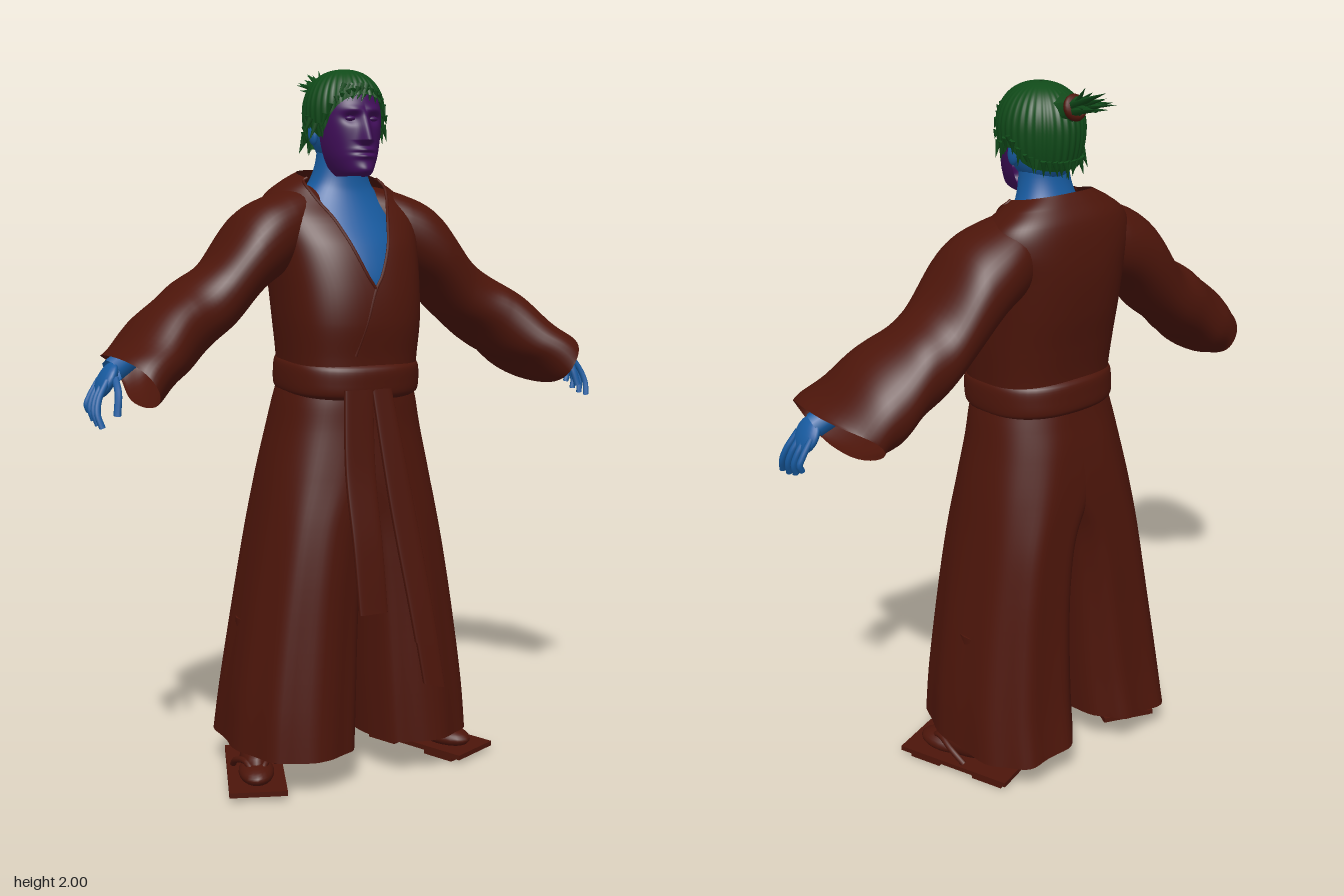
import * as THREE from 'three';
import { ParametricGeometry } from 'three/addons/geometries/ParametricGeometry.js';

const V = (x, y, z) => new THREE.Vector3(x, y, z);
const mat = (color) => new THREE.MeshStandardMaterial({ color, side: THREE.DoubleSide });
const gauss = (d, w) => Math.exp(-(d * d) / (w * w));
const pw = (s, e) => Math.sign(s) * Math.abs(s) ** e;

// Smooth (Catmull-Rom) blend through rows of numbers, v in 0..1
function sample(rows, v) {
  const n = rows.length - 1, t = THREE.MathUtils.clamp(v, 0, 1) * n, i = Math.min(Math.floor(t), n - 1), f = t - i;
  const at = (k) => rows[Math.max(0, Math.min(n, k))];
  return rows[0].map((_, c) => {
    const [a, b, d, e] = [at(i - 1)[c], at(i)[c], at(i + 1)[c], at(i + 2)[c]];
    return b + 0.5 * f * (d - a + f * (2 * a - 5 * b + 4 * d - e + f * (3 * (b - d) + e - a)));
  });
}

// Point on a body section: row = [y, centre x, half width, front z, back z], angle 0 faces front
function sectionPoint([y, cx, hw, zf, zb], a, e, out) {
  return out.set(cx + hw * pw(Math.sin(a), e), y, (zf + zb) / 2 + ((zf - zb) / 2) * pw(Math.cos(a), e));
}

function createModel() {
  const model = new THREE.Group();
  const cloth = mat(0x4c150a), skin = mat(0x175a9f), hairMat = mat(0x104a19), faceMat = mat(0x410e5a);

  const add = (name, geo, material, parent = model) => {
    const m = new THREE.Mesh(geo, material);
    m.name = name;
    parent.add(m);
    return m;
  };
  // Stack of horizontal sections, rows from bottom to top; gap(y) opens the front, eIn squares the -x half
  const loft = (name, rows, material, { e = 0.85, eIn = e, nu = 48, nv = 40, gap, tweak, parent } = {}) =>
    add(name, new ParametricGeometry((u, v, p) => {
      const r = sample(rows, v), g = gap ? gap(r[0], r[2]) : 0;
      sectionPoint(r, g + u * (2 * Math.PI - 2 * g), u > .5 ? eIn : e, p);
      if (tweak) tweak(p, u * 2 * Math.PI, v);
    }, nu, nv), material, parent);
  const ball = (name, material, pos, r, parent) => {
    const m = add(name, new THREE.SphereGeometry(1, 20, 14), material, parent);
    m.position.set(...pos);
    m.scale.set(...r);
    return m;
  };
  const tube = (name, material, pts, r, parent, n = 16) =>
    add(name, new THREE.TubeGeometry(new THREE.CatmullRomCurve3(pts), n, r, 8), material, parent);
  const spike = (name, material, a, b, r) => {
    const m = add(name, new THREE.ConeGeometry(r, a.distanceTo(b), 6), material);
    m.position.lerpVectors(a, b, 0.5);
    m.quaternion.setFromUnitVectors(V(0, 1, 0), b.clone().sub(a).normalize());
  };

  // Robe body with a V neck; the collar sinks toward the front
  const robeE = 0.77;
  const robe = [
    [1.12, 0, .185, .185, -.165], [1.2, 0, .19, .19, -.162], [1.3, 0, .198, .2, -.175], [1.4, 0, .203, .19, -.192],
    [1.5, 0, .21, .16, -.2], [1.58, 0, .222, .108, -.195], [1.64, 0, .208, .072, -.18], [1.685, 0, .16, .05, -.152], [1.715, 0, .112, .04, -.13],
  ];
  const vNeck = (y, hw) => (y < 1.39 ? 0 : Math.asin(Math.min(.96, (.12 * ((y - 1.39) / .3) ** .8) / hw) ** (1 / robeE)));
  const sink = (p) => {
    p.y -= THREE.MathUtils.smoothstep(p.y, 1.56, 1.715) * (p.z + .13) * .22;
    return p;
  };
  loft('robeBody', robe, cloth, { e: robeE, gap: vNeck, nv: 64, nu: 64, tweak: sink });

  // Collar edge down both sides of the neck, then the overlap seam
  for (const s of [1, -1]) {
    const pts = [];
    for (let v = 1; v > .36; v -= .04) {
      const r = sample(robe, v);
      if (r[0] > 1.39) pts.push(sink(sectionPoint(r, s * vNeck(r[0], r[2]), robeE, V(0, 0, 0))));
    }
    pts.push(V(0, 1.39, .191));
    if (s > 0) pts.push(V(-.03, 1.3, .196), V(-.06, 1.21, .185));
    tube('collarEdge', cloth, pts, .0045, model, 48);
  }

  // Neck and chest under the robe
  loft('neckAndChest', [
    [1.34, 0, .17, .17, -.14], [1.42, 0, .175, .165, -.15], [1.5, 0, .175, .135, -.155], [1.58, 0, .16, .085, -.15],
    [1.64, 0, .12, .055, -.125], [1.68, 0, .088, .046, -.1], [1.74, 0, .07, .045, -.08], [1.82, 0, .066, .04, -.075],
  ], skin, { e: .95 });

  // Waist belt and its two hanging ends
  loft('belt', [[1.1, 0, .185, .175, -.165], [1.115, 0, .196, .196, -.178], [1.15, 0, .198, .201, -.178],
    [1.185, 0, .194, .2, -.174], [1.2, 0, .18, .185, -.16]], cloth, { e: .82, nv: 20, tweak: (p) => { p.y -= p.z * .07; } });
  loft('sashEndShort', [[.51, -.04, .043, .26, .244], [.7, -.05, .044, .245, .228], [.9, -.058, .045, .217, .2],
    [1.12, -.055, .043, .2, .185]], cloth, { e: .4 });
  loft('sashEndLong', [[.29, .135, .034, .293, .279], [.5, .105, .036, .272, .256], [.8, .06, .037, .237, .221],
    [1.12, .015, .03, .2, .186]], cloth, { e: .4, tweak: (p) => { if (p.y < .4) p.y -= (p.x - .135) * .3; } });

  // Limbs, built for the left side and mirrored
  for (const s of [1, -1]) {
    const side = new THREE.Group();
    side.name = s > 0 ? 'leftLimbs' : 'rightLimbs';
    side.scale.x = s;
    model.add(side);

    // Wide sleeve with a curved cuff: rows are top x, y, bottom x, y, front z, back z
    const sleeve = [
      [.06, 1.675, .1, 1.48, .04, -.14], [.19, 1.65, .17, 1.44, .085, -.172], [.3, 1.59, .255, 1.38, .105, -.18],
      [.41, 1.455, .355, 1.28, .1, -.174], [.51, 1.395, .46, 1.2, .125, -.168], [.62, 1.305, .55, 1.135, .185, -.165], [.71, 1.225, .625, 1.09, .224, -.15],
    ];
    add('sleeve', new ParametricGeometry((u, v, p) => {
      const [tx, ty, bx, by, zf, zb] = sample(sleeve, v), a = u * 2 * Math.PI;
      const c = pw(Math.cos(a), .9) / 2, sn = Math.sin(a);
      p.set((tx + bx) / 2 + (tx - bx) * c, (ty + by) / 2 + (ty - by) * c, (zf + zb) / 2 + ((zf - zb) / 2) * pw(sn, .9));
      const cuff = v ** 4 * sn * sn * (sn > 0 ? .025 : .045);
      p.x -= cuff;
      p.y += cuff * .4 + .006 * v * Math.sin(v * 26 + 2 * a);
    }, 40, 48), cloth, side);

    // Forearm and hand with spread fingers
    tube('forearm', skin, [V(.42, 1.34, -.03), V(.58, 1.26, .01), V(.7, 1.19, .05)], .034, side);
    const palm = ball('palm', skin, [.718, 1.168, .055], [.02, .052, .046], side);
    palm.rotation.z = .5;
    for (let i = 0; i < 4; i++) {
      const z = .022 + i * .022, dz = .002 + i * .004, drop = [.03, .012, .003, 0][i];
      tube('finger', skin, [V(.725, 1.17, z), V(.753, 1.125, z + dz), V(.762, 1.088 + drop / 2, z + 2 * dz), V(.755, 1.055 + drop, z + 3 * dz)], .0085, side);
    }
    tube('thumb', skin, [V(.705, 1.175, .09), V(.708, 1.14, .12), V(.718, 1.085, .138)], .01, side);

    // Wide pleated trouser leg, rounded outside and flatter inside
    loft('trouserLeg', [
      [.11, .19, .168, .224, -.28], [.25, .181, .165, .217, -.256], [.45, .163, .154, .207, -.235], [.62, .143, .145, .2, -.224],
      [.75, .118, .147, .193, -.216], [.88, .07, .172, .186, -.206], [1, .035, .182, .178, -.19], [1.08, .02, .181, .175, -.174], [1.13, .01, .177, .17, -.165],
    ], cloth, {
      e: .88, eIn: .68, nu: 72, parent: side,
      tweak: (p, a, v) => {
        const k = .024 * (1 - v) * Math.cos(9 * a);
        p.x += k * (p.x - .18) * (p.x > .18 ? 1 : .2);
        p.z *= 1 + k;
        p.y += (1 - v) * .02 * (p.z < 0 ? Math.sin(a * 2) * .5 : -.3);
      },
    });

    // Foot on a low wooden sandal, turned outward
    const foot = new THREE.Group();
    foot.name = 'footAndSandal';
    foot.position.set(.285, 0, 0);
    foot.rotation.y = .37;
    side.add(foot);
    const slab = (name, w, h, d, y, z) => add(name, new THREE.BoxGeometry(w, h, d), cloth, foot).position.set(0, y, z);
    slab('sandalBoard', .16, .014, .365, .021, 0);
    slab('sandalFrontTooth', .15, .015, .1, .0075, .1);
    slab('sandalBackTooth', .15, .015, .1, .0075, -.115);
    ball('footFront', cloth, [0, .045, .07], [.05, .03, .085], foot);
    ball('instep', cloth, [0, .065, .005], [.044, .05, .1], foot);
    ball('heel', cloth, [0, .06, -.075], [.04, .042, .045], foot);
    const shin = add('shin', new THREE.CylinderGeometry(.06, .04, .4, 20, 1), cloth, foot);
    shin.position.set(-.01, .26, -.05);
    for (const k of [1, -1]) tube('sandalStrap', cloth, [V(0, .035, .13), V(k * .03, .075, .075), V(k * .055, .06, .02), V(k * .062, .028, -.03)], .009, foot);

    // Ear and eye
    const ear = ball('ear', skin, [.092, 1.81, -.005], [.012, .034, .02], side);
    ear.rotation.x = -.2;
    ball('eye', faceMat, [.034, 1.845, .105], [.015, .007, .01], side);
  }

  // Skull behind the face
  ball('skull', skin, [0, 1.83, -.01], [.088, .115, .1]);

  // Face: front half shell with brow, nose, lips and chin; rows are y, half width, front z
  const face = [[1.715, .02, .055], [1.693, .036, .1], [1.7, .05, .128], [1.735, .068, .132], [1.77, .079, .128], [1.81, .086, .126],
    [1.85, .089, .122], [1.89, .086, .116], [1.92, .078, .1], [1.945, .06, .07]];
  add('face', new ParametricGeometry((u, v, p) => {
    const [y, hw, zf] = sample(face, v), a = (u - .5) * Math.PI;
    const x = hw * Math.sin(a);
    let z = .02 + (zf - .02) * Math.abs(Math.cos(a)) ** .92;
    const nose = y > 1.787 ? Math.max(0, 1 - (y - 1.787) / .085) : Math.max(0, 1 - (1.787 - y) / .014);
    z += .034 * nose * gauss(x, .011 + .006 * nose);
    z += .009 * gauss(y - 1.868, .012) * gauss(Math.abs(x) - .03, .028);
    z -= .012 * gauss(y - 1.845, .014) * gauss(Math.abs(x) - .034, .02);
    z += gauss(x, .026) * (.008 * gauss(y - 1.762, .007) + .008 * gauss(y - 1.745, .007) - .004 * gauss(y - 1.753, .004));
    z += .008 * gauss(y - 1.708, .014) * gauss(x, .025);
    p.set(x, y, z);
  }, 64, 90), faceMat);

  // Combed hair cap whose lower edge runs from brow to nape
  const hairline = [[1.918], [1.908], [1.87], [1.79], [1.82], [1.775], [1.76], [1.755], [1.755]];
  const hairPoint = (phi, v, p) => {
    const q = Math.abs(phi > Math.PI ? 2 * Math.PI - phi : phi);
    const low = sample(hairline, q / Math.PI)[0];
    const y = 1.87 + .113 * Math.cos(.02 + (1 - v) * Math.acos(Math.max(-1, (low - 1.87) / .13)));
    const c = (y - 1.87) / .113;
    const r = (c > 0 ? (1 - c * c) ** .43 : 1 - .22 * c * c) * (1 + .018 * Math.sin(34 * phi) * (1 - v * v));
    return p.set(.108 * r * Math.sin(phi), y, -.003 + .13 * r * Math.cos(phi));
  };
  add('hairCap', new ParametricGeometry((u, v, p) => hairPoint(u * 2 * Math.PI, v, p), 144, 32), hairMat);

  // Loose locks around the hairline and a fringe swept to one side
  let seed = 7;
  const rnd = () => (seed = (seed * 16807) % 2147483647) / 2147483647;
  for (let i = 0; i < 44; i++) {
    const phi = (i / 44) * 2 * Math.PI, a = hairPoint(phi, .15, V(0, 0, 0)), front = Math.cos(phi) > .5;
    const b = a.clone().add(V((rnd() - .6) * .03, -(front ? .02 : .034) - .02 * rnd(), (rnd() - .5) * .02));
    spike('hairLock', hairMat, a, b, .009);
  }
  for (let i = 0; i < 7; i++)
    spike('fringeLock', hairMat, V(.012 - i * .009, 1.935, .108 - i * .003), V(-.012 - i * .011, 1.885 + .008 * rnd(), .126 - i * .006), .01);

  // Tied topknot with a splayed tail
  spike('topknotBase', hairMat, V(0, 1.915, -.07), V(0, 1.965, -.23), .05);
  const tie = add('hairTie', new THREE.TorusGeometry(.023, .012, 10, 24), cloth);
  tie.position.set(0, 1.935, -.14);
  tie.rotation.x = .3;
  for (let i = 0; i < 16; i++) {
    const tip = V(.014 + (rnd() - .5) * .055, 1.945 + rnd() * .06, -.2 - rnd() * .095);
    spike('tailLock', hairMat, V((rnd() - .5) * .025, 1.935 + (rnd() - .5) * .02, -.135), tip, .014);
  }
  return model;
}

export { createModel };
